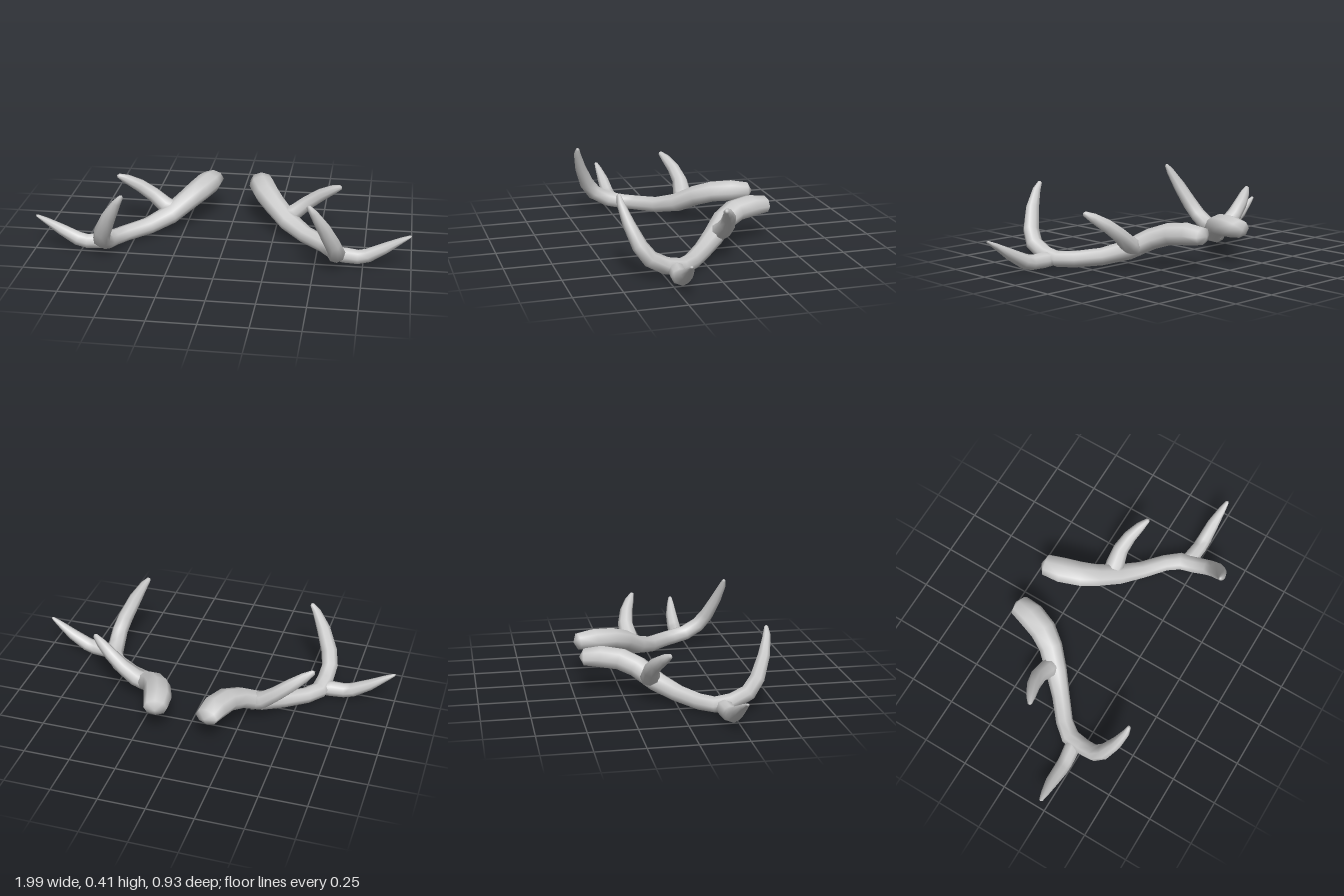
import * as THREE from 'three';

const SIDES = 8;
const material = new THREE.MeshStandardMaterial({ color: 0xcccccc });

// Each path point: x, y, z, radius, and optionally a second radius along the ring's up axis.
// The beam sweeps forward from the burr and turns up into the front tine.
const beamPath = [
  [0.138, 0.195, -0.438, 0.062, 0.046],
  [0.155, 0.197, -0.35, 0.074, 0.059],
  [0.192, 0.188, -0.25, 0.072, 0.058],
  [0.245, 0.158, -0.17, 0.064, 0.056],
  [0.33, 0.1, -0.085, 0.058, 0.052],
  [0.43, 0.066, 0.005, 0.048, 0.046],
  [0.54, 0.054, 0.095, 0.046, 0.043],
  [0.595, 0.053, 0.165, 0.05, 0.042],
  [0.61, 0.07, 0.25, 0.047, 0.044],
  [0.617, 0.115, 0.33, 0.045, 0.043],
  [0.598, 0.18, 0.378, 0.044, 0.04],
  [0.552, 0.285, 0.422, 0.038, 0.031],
  [0.502, 0.375, 0.448, 0.023, 0.02],
  [0.475, 0.412, 0.451, 0.012, 0.01],
];
const sideTinePath = [
  [0.59, 0.052, 0.19, 0.035],
  [0.65, 0.05, 0.205, 0.043],
  [0.725, 0.047, 0.213, 0.04],
  [0.775, 0.06, 0.215, 0.039],
  [0.865, 0.11, 0.217, 0.033, 0.03],
  [0.945, 0.161, 0.226, 0.02, 0.016],
  [0.988, 0.187, 0.232, 0.01, 0.007],
];
const browTinePath = [
  [0.29, 0.11, -0.115, 0.05, 0.05],
  [0.36, 0.14, -0.125, 0.052, 0.046],
  [0.43, 0.198, -0.132, 0.043, 0.04],
  [0.5, 0.252, -0.116, 0.036, 0.036],
  [0.565, 0.296, -0.088, 0.026, 0.027],
  [0.607, 0.322, -0.066, 0.012, 0.014],
];

// Tapered tube through the path, closed by a shallow point at both ends
function taperedTube(path, mirror, startCap, endCap) {
  const centres = path.map(([x, y, z]) => new THREE.Vector3(x, y, z));
  const positions = [];
  const indices = [];
  const add = (p) => positions.push(p.x * mirror, p.y, p.z);
  const face = (a, b, c) => indices.push(...(mirror > 0 ? [a, b, c] : [a, c, b]));
  const last = centres.length - 1;
  let up = new THREE.Vector3(0, 1, 0);

  centres.forEach((centre, i) => {
    const tangent = centres[Math.min(i + 1, last)].clone()
      .sub(centres[Math.max(i - 1, 0)]).normalize();
    const across = up.clone().cross(tangent).normalize();
    up = tangent.clone().cross(across);
    const rx = path[i][3];
    const ry = path[i][4] ?? rx;
    for (let s = 0; s < SIDES; s++) {
      const a = (s / SIDES) * Math.PI * 2;
      add(centre.clone()
        .addScaledVector(across, Math.cos(a) * rx)
        .addScaledVector(up, Math.sin(a) * ry));
    }
  });

  for (let i = 0; i < last; i++) {
    for (let s = 0; s < SIDES; s++) {
      const a = i * SIDES + s;
      const b = i * SIDES + ((s + 1) % SIDES);
      face(a, b, b + SIDES);
      face(a, b + SIDES, a + SIDES);
    }
  }

  const tip = (end, inner, length) => centres[end].clone().addScaledVector(
    centres[end].clone().sub(centres[inner]).normalize(), length);
  const startTip = positions.length / 3;
  add(tip(0, 1, startCap));
  add(tip(last, last - 1, endCap));
  for (let s = 0; s < SIDES; s++) {
    const n = (s + 1) % SIDES;
    face(startTip, n, s);
    face(startTip + 1, last * SIDES + s, last * SIDES + n);
  }

  const geometry = new THREE.BufferGeometry();
  geometry.setAttribute('position', new THREE.Float32BufferAttribute(positions, 3));
  geometry.setIndex(indices);
  geometry.computeVertexNormals();
  return geometry;
}

function createAntler(name, mirror) {
  const antler = new THREE.Group();
  antler.name = name;
  const parts = [
    ['mainBeam', beamPath, 0.026, 0.008],
    ['sideTine', sideTinePath, 0.01, 0.009],
    ['browTine', browTinePath, 0.01, 0.009],
  ];
  for (const [partName, path, startCap, endCap] of parts) {
    const mesh = new THREE.Mesh(taperedTube(path, mirror, startCap, endCap), material);
    mesh.name = partName;
    antler.add(mesh);
  }
  return antler;
}

export function createModel() {
  const model = new THREE.Group();
  model.name = 'antlers';
  model.add(createAntler('leftAntler', 1), createAntler('rightAntler', -1));
  return model;
}
